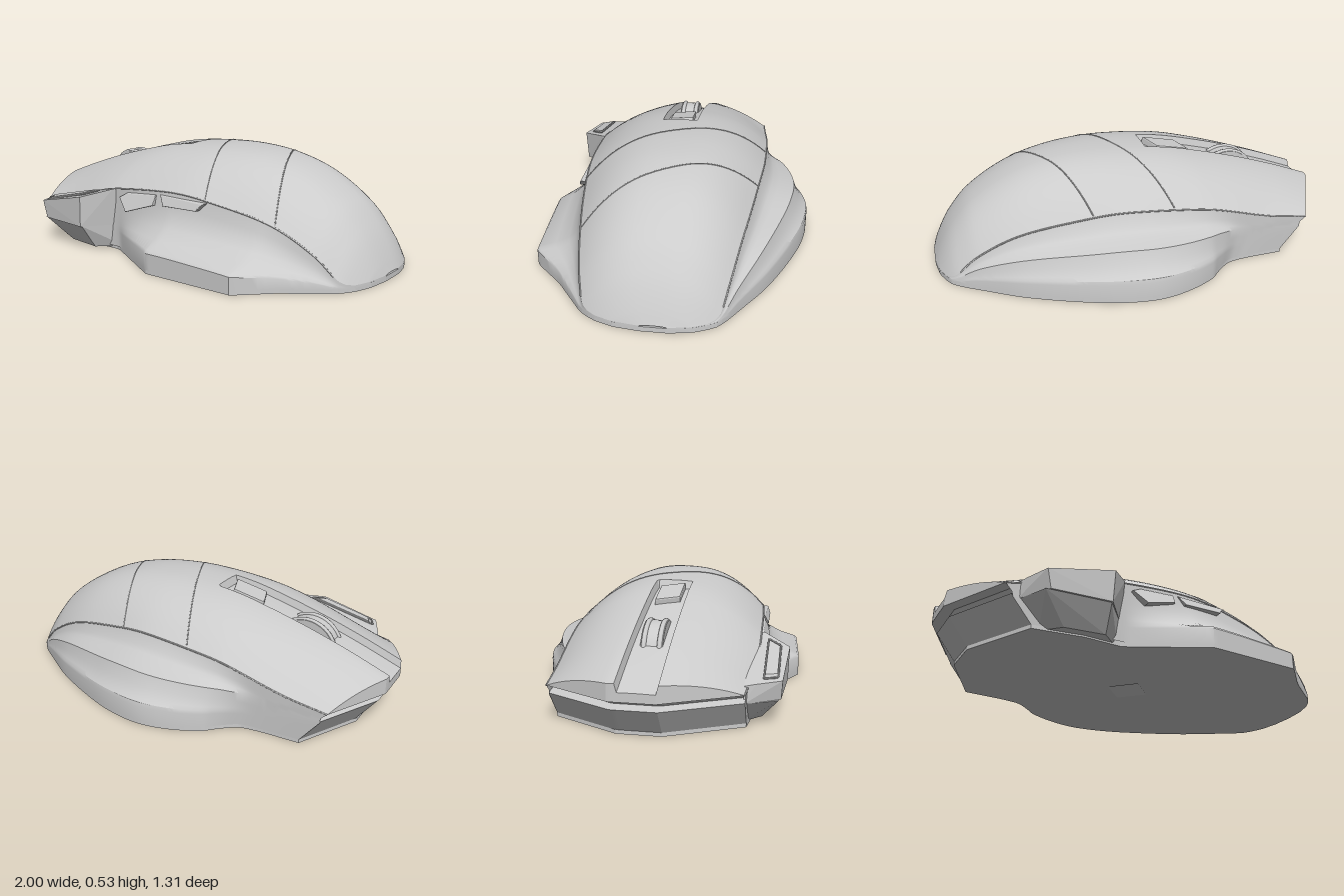
import * as THREE from 'three';
import { toCreasedNormals } from 'three/addons/utils/BufferGeometryUtils.js';
import { ConvexGeometry } from 'three/addons/geometries/ConvexGeometry.js';

const mat = new THREE.MeshStandardMaterial({ color: 0xcccccc, side: THREE.DoubleSide });
const clamp = THREE.MathUtils.clamp;

// value of a profile at x, linear or smooth
function at(p, x, smooth = true) {
  let i = 0;
  while (i < p.length - 2 && x > p[i + 1][0]) i++;
  const slope = (a, b) => (p[b][1] - p[a][1]) / (p[b][0] - p[a][0]);
  const h = p[i + 1][0] - p[i][0], t = clamp((x - p[i][0]) / h, 0, 1);
  const y0 = p[i][1], y1 = p[i + 1][1];
  if (!smooth) return y0 + (y1 - y0) * t;
  const m0 = slope(Math.max(i - 1, 0), i + 1) * h;
  const m1 = slope(i, Math.min(i + 2, p.length - 1)) * h;
  const a = t * t, b = a * t;
  return y0 * (2 * b - 3 * a + 1) + m0 * (b - 2 * a + t) + y1 * (3 * a - 2 * b) + m1 * (b - a);
}

// profiles along the length: crown height, shell edge height, shell edges, base edges
const CROWN = [[-1, .27], [-.8, .345], [-.6, .41], [-.4, .465], [-.2, .51], [0, .53], [.2, .535], [.4, .515],
  [.6, .455], [.8, .335], [.9, .225], [.96, .125], [1, .035]];
const EDGE = [[-1, .19], [-.75, .225], [-.4, .3], [-.2, .33], [.1, .35], [.3, .33], [.6, .265], [.8, .16], [.93, .04], [1, .03]];
const SHELL_L = [[-1, .44], [-.6, .47], [-.2, .47], [.2, .45], [.6, .395], [.9, .33], [.95, .27], [.985, .17], [1, .06]];
const SHELL_R = [[-1, .41], [-.5, .43], [0, .43], [.3, .4], [.6, .355], [.9, .285], [.95, .235], [.985, .15], [1, .06]];
const BASE_L = [[-1, .44], [-.6, .47], [-.28, .46], [-.2, .5], [.09, .65], [.56, .63], [.7, .49], [.9, .34], [.95, .275], [.985, .175], [1, .06]];
const BASE_R = [[-1, .41], [-.54, .435], [-.4, .495], [-.2, .605], [-.03, .655], [.12, .65], [.3, .605], [.6, .48], [.8, .36],
  [.92, .28], [.95, .24], [.985, .155], [1, .06]];
const STATIONS = [];
for (let i = 0; i <= 90; i++) STATIONS.push(-1 + i / 45);
STATIONS.push(-.105, -.09, .985, .995);
STATIONS.sort((a, b) => a - b);

// swept-back nose, undercut towards the bottom
function warp(s, y, z) {
  const w = clamp((-.3 - s) / .7, 0, 1);
  const dx = .5 * Math.max(0, Math.abs(z) - .1) + .8 * Math.max(0, .14 - y) + (y < .17 ? .03 : 0);
  return new THREE.Vector3(s + w * dx, y, z);
}

function shellPoint(s, z, drop = 0) {
  const half = at(z > 0 ? SHELL_L : SHELL_R, s);
  const u = Math.min(1, Math.abs(z) / half), e = at(EDGE, s);
  return warp(s, e + (at(CROWN, s) - e) * (1 - u ** 2.5) - drop, z);
}

// shell cross-section with the wheel channel sunk in its front half
function shellRow(s) {
  const l = at(SHELL_L, s), r = at(SHELL_R, s), k = Math.min(1, l / .33);
  const depth = s < -.1 ? .038 : 0, row = [], n = 16;
  for (let i = 0; i <= n; i++) row.push(shellPoint(s, l + (.11 * k - l) * (i / n) ** .8));
  for (let i = 0; i <= 4; i++) row.push(shellPoint(s, (.1 - .04 * i) * k, depth));
  for (let i = n; i >= 0; i--) row.push(shellPoint(s, -(r + (.07 * k - r) * (i / n) ** .8)));
  return row;
}

// thumb and finger side sections: share of the flare, share of the height
const THUMB = [[0, 1], [.06, .8], [.14, .65], [.3, .5], [.6, .37], [.95, .28], [1, .24], [1, 0]];
const FINGER = [[0, 1], [.1, .83], [.2, .76], [.35, .71], [.68, .65], [.77, .48], [.9, .35], [.98, .3], [1, .24], [1, 0]];
function flankRow(s, side) {
  const left = side > 0, e = at(EDGE, s);
  const a = at(left ? SHELL_L : SHELL_R, s), b = Math.max(a, at(left ? BASE_L : BASE_R, s, !left));
  return (left ? THUMB : FINGER).map(([f, g]) => warp(s, .02 + (e - .02) * g, side * (a + (b - a) * f)));
}

function loft(rows, crease = .55) {
  const n = rows[0].length, idx = [];
  for (let i = 0; i < rows.length - 1; i++) for (let j = 0; j < n - 1; j++) {
    const a = i * n + j, b = a + n;
    idx.push(a, b, a + 1, b, b + 1, a + 1);
  }
  const g = new THREE.BufferGeometry().setFromPoints(rows.flat());
  g.setIndex(idx);
  return toCreasedNormals(g, crease);
}

export function createModel() {
  const group = new THREE.Group();
  const add = (name, geo, x = 0, y = 0, z = 0) => {
    const m = new THREE.Mesh(geo, mat);
    m.name = name;
    m.position.set(x, y, z);
    group.add(m);
    return m;
  };
  const tube = (name, pts, r = .004) =>
    add(name, new THREE.TubeGeometry(new THREE.CatmullRomCurve3(pts), pts.length * 3, r, 5));
  const hull = (name, pts) => add(name, new ConvexGeometry(pts.map(p => new THREE.Vector3(...p))));

  // top shell and flanks
  add('topShell', loft(STATIONS.map(shellRow)));
  add('thumbSide', loft(STATIONS.map(s => flankRow(s, 1).reverse())));
  add('fingerSide', loft(STATIONS.map(s => flankRow(s, -1))));

  // nose with a slot between the shell and the lower body
  const front = shellRow(-1);
  const nose = [[.19, 0], [.185, .05], [.155, .05], [.145, 0], [.02, 0]];
  add('nose', loft([...nose.map(([y, inset]) => front.map(p => {
    const v = warp(-1, y, p.z);
    v.x += inset;
    return v;
  })).reverse(), front], .3));

  // flat base with a small pyramid recess for the sensor
  const outline = [...STATIONS.map(s => [s, at(BASE_L, s, false)]),
    ...STATIONS.map(s => [s, -at(BASE_R, s)]).reverse(), [-1, -.1], [-1, .1]];
  const base = new THREE.Shape(outline.map(([s, z]) => {
    const v = warp(s, .02, z);
    return new THREE.Vector2(v.x, v.z);
  }));
  const R = .11;
  base.holes.push(new THREE.Path([[R, 0], [0, R], [-R, 0], [0, -R]].map(p => new THREE.Vector2(...p))));
  const plate = new THREE.ExtrudeGeometry(base, { depth: .025, bevelEnabled: false }).rotateX(Math.PI / 2);
  add('basePlate', plate, 0, .027, 0);
  add('sensorRecess', new THREE.ConeGeometry(R, .06, 4, 1, true), 0, .032, 0);

  // panel seams over the shell and along its edges
  for (const [x0, z0, x1, z1] of [[-.13, -.425, .27, .44], [.26, -.4, .62, .385]]) {
    const pts = [];
    for (let i = 0; i <= 24; i++) {
      const t = i / 24;
      pts.push(shellPoint(x0 + (x1 - x0) * t, z0 + (z1 - z0) * t));
    }
    tube('panelSeam', pts, .003);
  }
  for (const side of [1, -1]) {
    tube('edgeSeam', STATIONS.filter((s, i) => i % 3 === 0 && s < .95)
      .map(s => shellPoint(s, side * at(side > 0 ? SHELL_L : SHELL_R, s))));
  }

  // scroll wheel with a ribbed tyre
  const wheel = add('scrollWheel', new THREE.CylinderGeometry(.15, .15, .1, 40), -.56, .275, .02);
  wheel.rotation.x = Math.PI / 2;
  for (const z of [-.015, .055]) add('wheelRim', new THREE.TorusGeometry(.148, .012, 8, 40), -.56, .275, z);

  // skewed button behind the wheel
  const skew = new THREE.Shape([[-.1, -.05], [.06, -.05], [.1, .05], [-.06, .05]].map(p => new THREE.Vector2(...p)));
  const cap = new THREE.ExtrudeGeometry(skew, { depth: .05, bevelSize: .008, bevelThickness: .008, bevelSegments: 2 });
  const button = add('topButton', cap.rotateX(Math.PI / 2), -.225, .488, .02);
  button.rotation.z = .2;

  // raised button pad on the thumb side and the block below it
  hull('frontPad', [[-.77, .21, .43], [-.27, .325, .43], [-.75, .215, .48], [-.28, .32, .49], [-.7, .22, .59],
    [-.39, .285, .61], [-.68, .13, .585], [-.4, .13, .605], [-.77, .13, .43], [-.27, .13, .43]]);
  hull('frontPadBlock', [[-.77, .13, .42], [-.7, .13, .575], [-.4, .13, .595], [-.27, .13, .43],
    [-.66, .01, .42], [-.58, .01, .5], [-.39, .01, .52], [-.28, .01, .42]]);
  const corners = [[-.71, .229, .51], [-.35, .309, .51], [-.4, .292, .57], [-.68, .227, .57]];
  const lid = new THREE.Vector3(-.535, .27, .54);
  hull('frontPadButton', corners.flatMap(c => {
    const v = new THREE.Vector3(...c).lerp(lid, .14);
    return [[v.x, v.y + .006, v.z], [c[0], c[1] - .03, c[2]]];
  }));
  tube('frontPadFrame', [...corners, corners[0]].flatMap((c, i, all) => {
    const a = new THREE.Vector3(...c), b = new THREE.Vector3(...all[(i + 1) % all.length]);
    return i < 4 ? [0, .1, .5, .9].map(t => a.clone().lerp(b, t)) : [a];
  }));

  // two thumb buttons leaning with the flank
  const keys = [[[-.23, .285], [-.17, .23], [-.015, .28], [-.01, .322], [-.19, .307]],
    [[.025, .328], [.055, .288], [.25, .293], [.28, .322]]];
  for (const key of keys) {
    const g = new THREE.ExtrudeGeometry(new THREE.Shape(key.map(p => new THREE.Vector2(...p))),
      { depth: .03, bevelSize: .005, bevelThickness: .006, bevelSegments: 2 });
    const p = g.attributes.position;
    for (let i = 0; i < p.count; i++) p.setZ(i, p.getZ(i) + .452 - (p.getY(i) - .29) * .45);
    g.computeVertexNormals();
    add('thumbButton', g);
  }
  return group;
}
